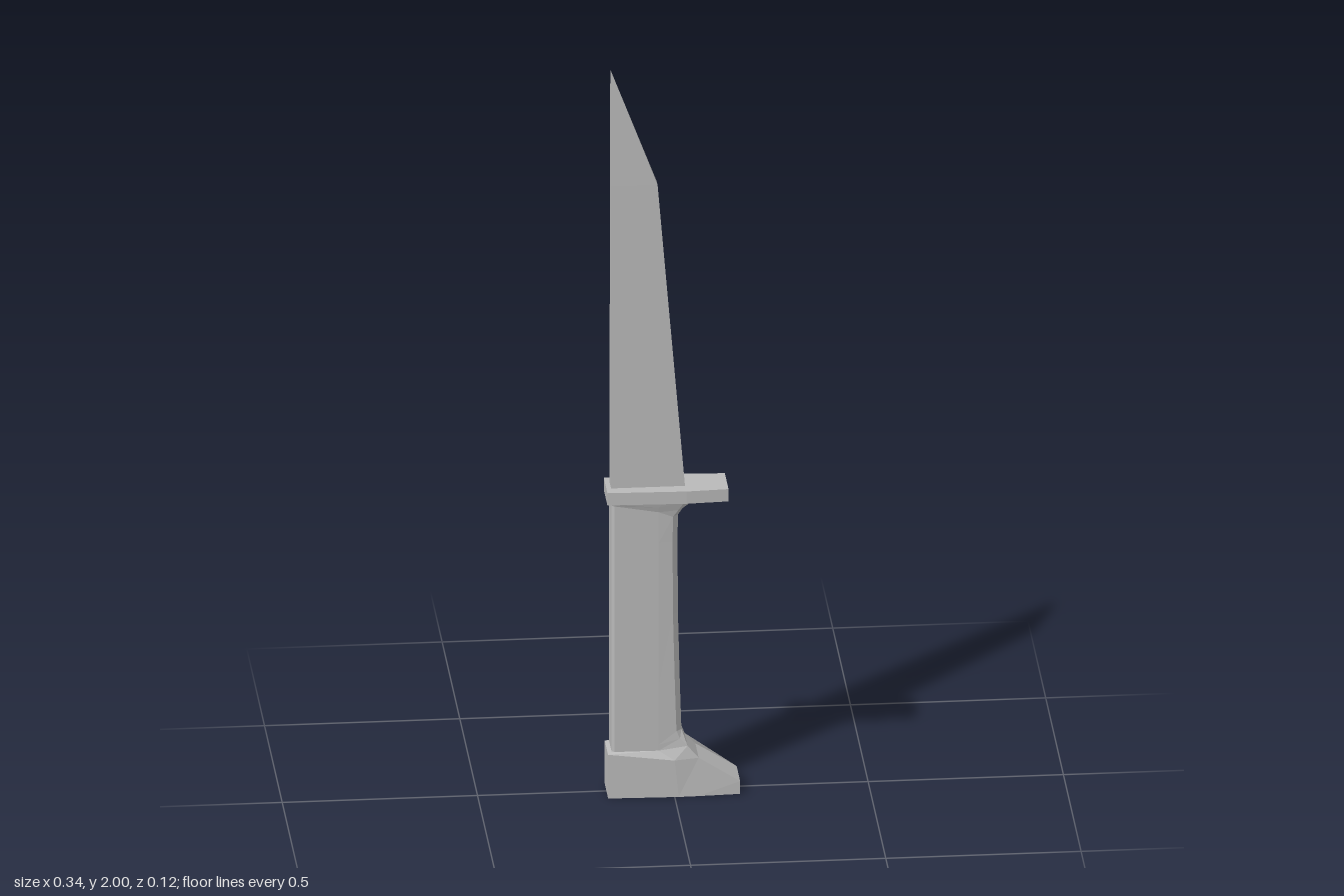
import * as THREE from 'three';

const steel = new THREE.MeshStandardMaterial({ color: 0xb8b8b8, flatShading: true });
steel.name = 'grey steel';

// Skins a stack of rings. Each ring lists its +z half from back to front
// as [x, y, z]; the -z half is mirrored. Collapsed triangles are skipped.
function loft(name, halves) {
  const rings = halves.map((half) => {
    const side = half.map(([x, y, z]) => new THREE.Vector3(x, y, z));
    const mirror = half.map(([x, y, z]) => new THREE.Vector3(x, y, -z)).reverse();
    return [...side, ...mirror];
  });
  const positions = [];
  const tri = (a, b, c) => {
    if (new THREE.Triangle(a, b, c).getArea() < 1e-8) return;
    for (const v of [a, b, c]) positions.push(v.x, v.y, v.z);
  };
  const n = rings[0].length;
  for (let r = 0; r < rings.length - 1; r++) {
    const lo = rings[r], hi = rings[r + 1];
    for (let i = 0; i < n; i++) {
      const j = (i + 1) % n;
      tri(lo[i], lo[j], hi[j]);
      tri(lo[i], hi[j], hi[i]);
    }
  }
  const bottom = rings[0], top = rings[rings.length - 1];
  for (let i = 1; i < n - 1; i++) {
    tri(bottom[0], bottom[i + 1], bottom[i]);
    tri(top[0], top[i], top[i + 1]);
  }
  const geometry = new THREE.BufferGeometry();
  geometry.setAttribute('position', new THREE.Float32BufferAttribute(positions, 3));
  geometry.computeVertexNormals();
  const mesh = new THREE.Mesh(geometry, steel);
  mesh.name = name;
  return mesh;
}

// Handle cross-section with bevelled back and front edges
const gripRing = (y, front) => [
  [-0.16, y, 0.034], [-0.153, y, 0.04], [-0.04, y, 0.041],
  [front - 0.014, y, 0.038], [front, y, 0.024],
];

export function createModel() {
  const group = new THREE.Group();
  group.name = 'knife';

  // Blade: tapered slab with a slanted point, spine at the back
  group.add(loft('blade', [
    [[-0.16, 0.84, 0.021], [0.03, 0.84, 0.021]],
    [[-0.16, 1.68, 0.012], [-0.04, 1.68, 0.012]],
    [[-0.16, 2.0, 0], [-0.16, 2.0, 0]],
  ]));

  // Guard: flat plate, widest in the middle
  const guardRing = (y) => [[-0.172, y, 0.051], [0.03, y, 0.058], [0.138, y, 0.052]];
  group.add(loft('guard', [guardRing(0.813), guardRing(0.847)]));

  // Grip, flaring out beneath the guard
  group.add(loft('grip', [
    gripRing(0.175, 0.02),
    gripRing(0.3, 0.016),
    gripRing(0.5, 0.011),
    gripRing(0.7, 0.01),
    [[-0.16, 0.805, 0.034], [-0.153, 0.805, 0.04], [-0.04, 0.785, 0.041],
      [-0.003, 0.77, 0.039], [0.011, 0.77, 0.024]],
    [[-0.161, 0.81, 0.035], [-0.154, 0.81, 0.042], [-0.04, 0.8, 0.046],
      [0.01, 0.79, 0.044], [0.022, 0.79, 0.032]],
    [[-0.163, 0.815, 0.037], [-0.156, 0.815, 0.044], [-0.03, 0.815, 0.051],
      [0.025, 0.815, 0.053], [0.047, 0.815, 0.045]],
  ]));

  // Pommel: hooked foot whose front sweeps up into the grip
  group.add(loft('pommel', [
    [[-0.17, 0, 0.05], [-0.17, 0, 0.05], [0.01, 0, 0.056],
      [0.06, 0, 0.055], [0.168, 0, 0.05]],
    [[-0.17, 0.12, 0.047], [-0.17, 0.12, 0.047], [0.0, 0.1, 0.053],
      [0.062, 0.103, 0.047], [0.168, 0.035, 0.049]],
    [[-0.16, 0.124, 0.034], [-0.153, 0.124, 0.04], [-0.04, 0.124, 0.041],
      [0.034, 0.135, 0.042], [0.062, 0.103, 0.047]],
    [[-0.16, 0.14, 0.034], [-0.153, 0.14, 0.04], [-0.04, 0.14, 0.041],
      [0.015, 0.155, 0.039], [0.034, 0.135, 0.042]],
    gripRing(0.175, 0.02),
  ]));

  return group;
}
